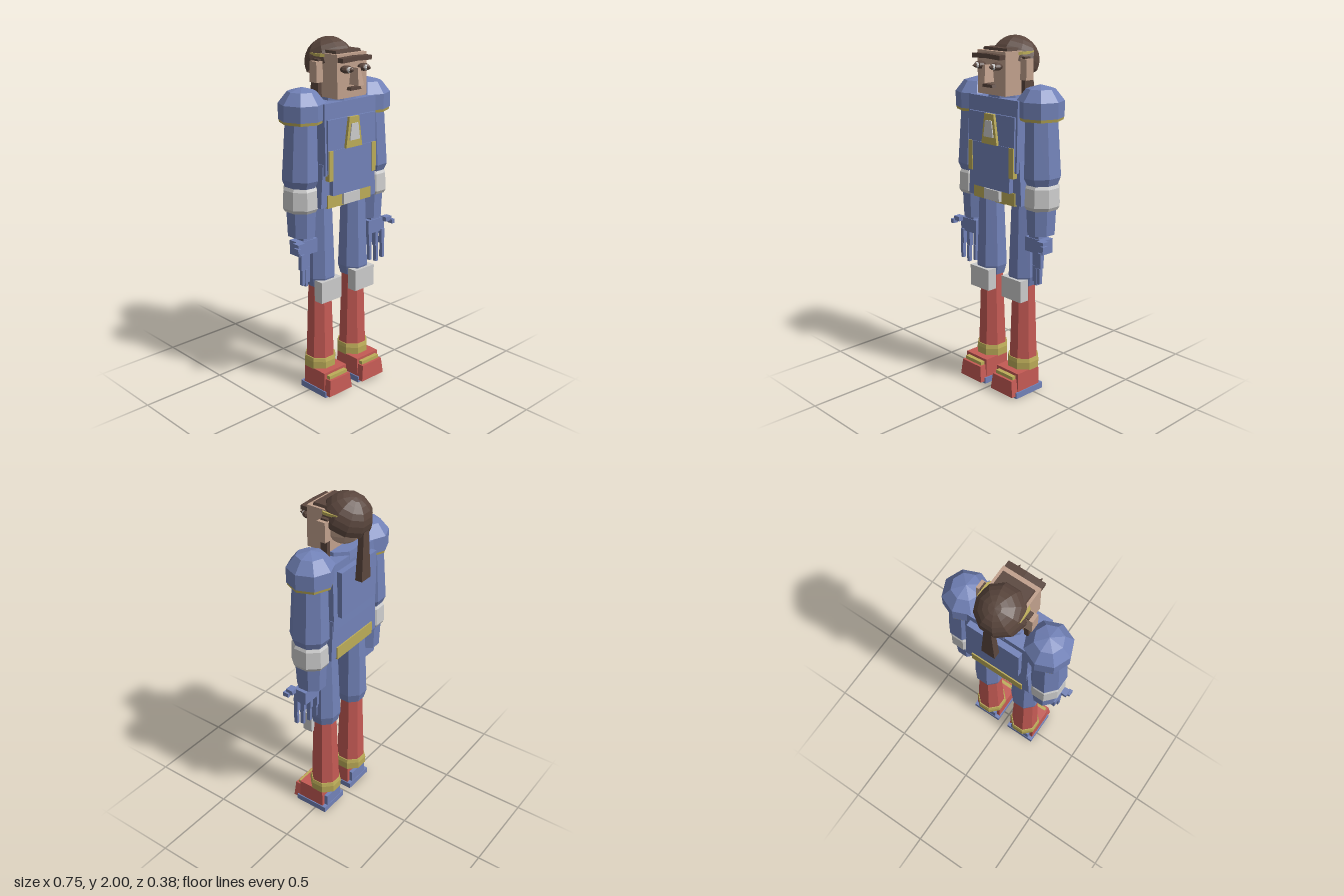
import * as THREE from 'three';

const mat = (color) => new THREE.MeshStandardMaterial({ color, flatShading: true, side: THREE.DoubleSide });
const BLUE = mat(0x7282b8), RED = mat(0xc45a54), GOLD = mat(0xbcac58);
const SKIN = mat(0xc0a08c), BROWN = mat(0x5a463d), GREY = mat(0xcccccc);

function add(parent, name, geometry, material, x = 0, y = 0, z = 0) {
  const mesh = new THREE.Mesh(geometry, material);
  mesh.name = name;
  mesh.position.set(x, y, z);
  parent.add(mesh);
  return mesh;
}

// Box given by its extents; the top face can be scaled for a taper
function block(parent, name, material, [x0, x1], [y0, y1], [z0, z1], topX = 1, topZ = 1) {
  const g = new THREE.BoxGeometry(Math.abs(x1 - x0), y1 - y0, z1 - z0);
  const p = g.attributes.position;
  for (let i = 0; i < p.count; i++) {
    if (p.getY(i) > 0) p.setXYZ(i, p.getX(i) * topX, p.getY(i), p.getZ(i) * topZ);
  }
  return add(parent, name, g, material, (x0 + x1) / 2, (y0 + y1) / 2, (z0 + z1) / 2);
}

// Eight-sided limb with flats to the front, from [radius, height] points
function limb(parent, name, material, x, z, points, closed = true) {
  const k = 1 / Math.cos(Math.PI / 8);
  const pts = points.map(([r, y]) => new THREE.Vector2(r * k, y));
  if (closed) {
    pts.unshift(new THREE.Vector2(0, points[0][1]));
    pts.push(new THREE.Vector2(0, points[points.length - 1][1]));
  }
  return add(parent, name, new THREE.LatheGeometry(pts, 8, Math.PI / 8), material, x, 0, z);
}

// Flat trapezoid plate standing on the chest
function plate(parent, name, material, bottom, top, y0, y1, z, depth) {
  const s = new THREE.Shape([[-bottom, y0], [bottom, y0], [top, y1], [-top, y1]].map((p) => new THREE.Vector2(...p)));
  return add(parent, name, new THREE.ExtrudeGeometry(s, { depth, bevelEnabled: false }), material, 0, 0, z);
}

function buildTorso() {
  const g = new THREE.Group();
  g.name = 'torso';
  block(g, 'chest', BLUE, [-0.19, 0.19], [1.3, 1.685], [-0.12, 0.108], 1, 0.93);
  block(g, 'chestPlate', BLUE, [-0.178, 0.178], [1.31, 1.6], [0.09, 0.114]);
  block(g, 'waist', BLUE, [-0.208, 0.208], [1.12, 1.36], [-0.115, 0.09], 0.93);
  block(g, 'abdomenPanel', BLUE, [-0.145, 0.145], [1.185, 1.435], [0.07, 0.118]);
  block(g, 'belt', GOLD, [-0.163, 0.163], [1.112, 1.185], [-0.122, 0.096]);
  block(g, 'buckle', GREY, [-0.06, 0.06], [1.12, 1.18], [0.09, 0.115]);
  block(g, 'backPack', BLUE, [-0.155, 0.155], [1.375, 1.64], [-0.145, -0.1]);
  block(g, 'crotch', GOLD, [-0.04, 0.04], [1.09, 1.12], [-0.06, 0.05], 1.4);
  plate(g, 'emblemFrame', GOLD, 0.06, 0.035, 1.435, 1.6, 0.11, 0.02);
  plate(g, 'emblemInset', GREY, 0.037, 0.024, 1.475, 1.565, 0.115, 0.021);
  limb(g, 'collar', BLUE, 0, -0.01, [[0.105, 1.66], [0.1, 1.705]]);
  for (const s of [-1, 1]) block(g, 'sideTrim', GOLD, [s * 0.145, s * 0.176], [1.27, 1.435], [0.09, 0.122]);
  return g;
}

function buildHead() {
  const g = new THREE.Group();
  g.name = 'head';
  block(g, 'face', SKIN, [-0.107, 0.107], [1.7, 1.93], [-0.03, 0.11], 1, 0.98);
  const skull = add(g, 'skull', new THREE.SphereGeometry(0.118, 10, 8), SKIN, 0, 1.845, -0.05);
  skull.scale.set(1, 1, 0.95);
  add(g, 'headband', new THREE.CylinderGeometry(0.128, 0.128, 0.015, 10), GOLD, 0, 1.918, -0.045);
  // Hair: tilted cap, fringe, tail and side locks
  const cap = add(g, 'hairCap', new THREE.SphereGeometry(0.135, 10, 7, 0, Math.PI * 2, 0, Math.PI * 0.55), BROWN, 0, 1.868, -0.062);
  cap.rotation.x = -0.42;
  block(g, 'fringe', BROWN, [-0.093, 0.093], [1.925, 1.945], [-0.04, 0.083], 0.95, 0.95);
  block(g, 'hairTail', BROWN, [-0.04, 0.04], [1.55, 1.85], [-0.187, -0.145], 0.5, 0.7);
  block(g, 'nose', SKIN, [-0.021, 0.021], [1.77, 1.86], [0.1, 0.178], 0.45, 0.6);
  block(g, 'mouth', BROWN, [-0.04, 0.04], [1.742, 1.758], [0.1, 0.14], 0.85);
  for (const s of [-1, 1]) {
    block(g, 'sideLock', BROWN, [s * 0.115, s * 0.142], [1.69, 1.9], [-0.042, 0.0], 0.8);
    block(g, 'ear', SKIN, [s * 0.115, s * 0.16], [1.78, 1.89], [-0.045, 0.01], 1, 0.9);
    const brow = block(g, 'brow', BROWN, [0, s * 0.105], [1.893, 1.917], [0.1, 0.15]);
    brow.rotation.z = -s * 0.04;
    const eye = add(g, 'eyeSocket', new THREE.SphereGeometry(0.034, 8, 6), BROWN, s * 0.063, 1.855, 0.132);
    eye.scale.set(1, 0.62, 1);
    const white = add(g, 'eyeball', new THREE.SphereGeometry(0.022, 8, 6), GREY, s * 0.063, 1.855, 0.15);
    white.scale.set(1, 0.72, 1);
    const pupil = add(g, 'pupil', new THREE.ConeGeometry(0.014, 0.024, 6), BROWN, s * 0.063, 1.855, 0.176);
    pupil.rotation.x = Math.PI / 2;
  }
  return g;
}

function buildArm(s) {
  const g = new THREE.Group();
  g.name = s > 0 ? 'leftArm' : 'rightArm';
  const z = -0.015;
  const dome = [[0, 1.6], [0.126, 1.6], [0.126, 1.685], [0.077, 1.747], [0, 1.768]].map((p) => new THREE.Vector2(...p));
  add(g, 'shoulder', new THREE.LatheGeometry(dome, 8), BLUE, s * 0.243, 0, z);
  add(g, 'shoulderTrim', new THREE.CylinderGeometry(0.124, 0.12, 0.016, 8), GOLD, s * 0.243, 1.592, z);
  const upper = limb(g, 'upperArm', BLUE, s * 0.258, z, [[0.075, -0.19], [0.09, -0.15], [0.078, 0.17]]);
  upper.position.y = 1.43;
  upper.rotation.z = s * 0.035;
  upper.scale.z = 1.15;
  limb(g, 'cuff', GREY, s * 0.263, z, [[0.078, 1.105], [0.088, 1.125], [0.084, 1.225], [0.072, 1.25]]).scale.z = 1.13;
  limb(g, 'forearm', BLUE, s * 0.257, z, [[0.07, 0.962], [0.076, 1.11]]).scale.z = 1.1;
  // Hand with four jointed fingers and a thumb pointing outwards
  block(g, 'wrist', BLUE, [s * 0.225, s * 0.295], [0.935, 0.97], [-0.025, 0.045]);
  block(g, 'palm', BLUE, [s * 0.2, s * 0.33], [0.865, 0.945], [-0.03, 0.05]);
  [[0.312, 0.7, 0.045], [0.276, 0.68, 0.03], [0.243, 0.69, 0.01], [0.216, 0.72, -0.015]].forEach(([x, y, fz]) => {
    const mid = (0.875 + y) / 2;
    block(g, 'fingerBase', BLUE, [s * (x - 0.012), s * (x + 0.012)], [mid, 0.875], [fz - 0.013, fz + 0.013]);
    block(g, 'fingerTip', BLUE, [s * (x - 0.009), s * (x + 0.009)], [y, mid], [fz - 0.006, fz + 0.016]);
  });
  block(g, 'thumbBase', BLUE, [s * 0.315, s * 0.362], [0.922, 0.948], [0.035, 0.078]);
  block(g, 'thumbTip', BLUE, [s * 0.353, s * 0.374], [0.905, 0.93], [0.055, 0.09]);
  return g;
}

function buildLeg(s) {
  const g = new THREE.Group();
  g.name = s > 0 ? 'leftLeg' : 'rightLeg';
  const x = s * 0.13, z = -0.01;
  const span = (h) => [x - h, x + h];
  limb(g, 'thigh', BLUE, x, z, [[0.07, 0.645], [0.084, 0.7], [0.068, 1.13]]);
  block(g, 'kneeGuard', GREY, span(0.075), [0.565, 0.69], [0.03, 0.09]);
  limb(g, 'shin', RED, x, z, [[0.078, 0.18], [0.062, 0.66]]);
  limb(g, 'ankleBand', GOLD, x, z, [[0.086, 0.14], [0.087, 0.185], [0.082, 0.207]]);
  // Boot
  block(g, 'boot', RED, span(0.088), [0.03, 0.145], [-0.05, 0.12], 0.97, 0.97);
  block(g, 'toeCap', RED, span(0.088), [0.015, 0.11], [0.08, 0.165], 0.86, 0.85);
  block(g, 'toeTrim', GOLD, span(0.067), [0.085, 0.13], [0.1, 0.143]);
  block(g, 'sole', BLUE, span(0.094), [0, 0.036], [-0.073, 0.136]);
  block(g, 'heel', BLUE, span(0.065), [0.03, 0.105], [-0.07, -0.04]);
  return g;
}

export function createModel() {
  const model = new THREE.Group();
  model.name = 'figure';
  model.add(buildTorso(), buildHead());
  for (const s of [-1, 1]) model.add(buildArm(s), buildLeg(s));
  return model;
}
